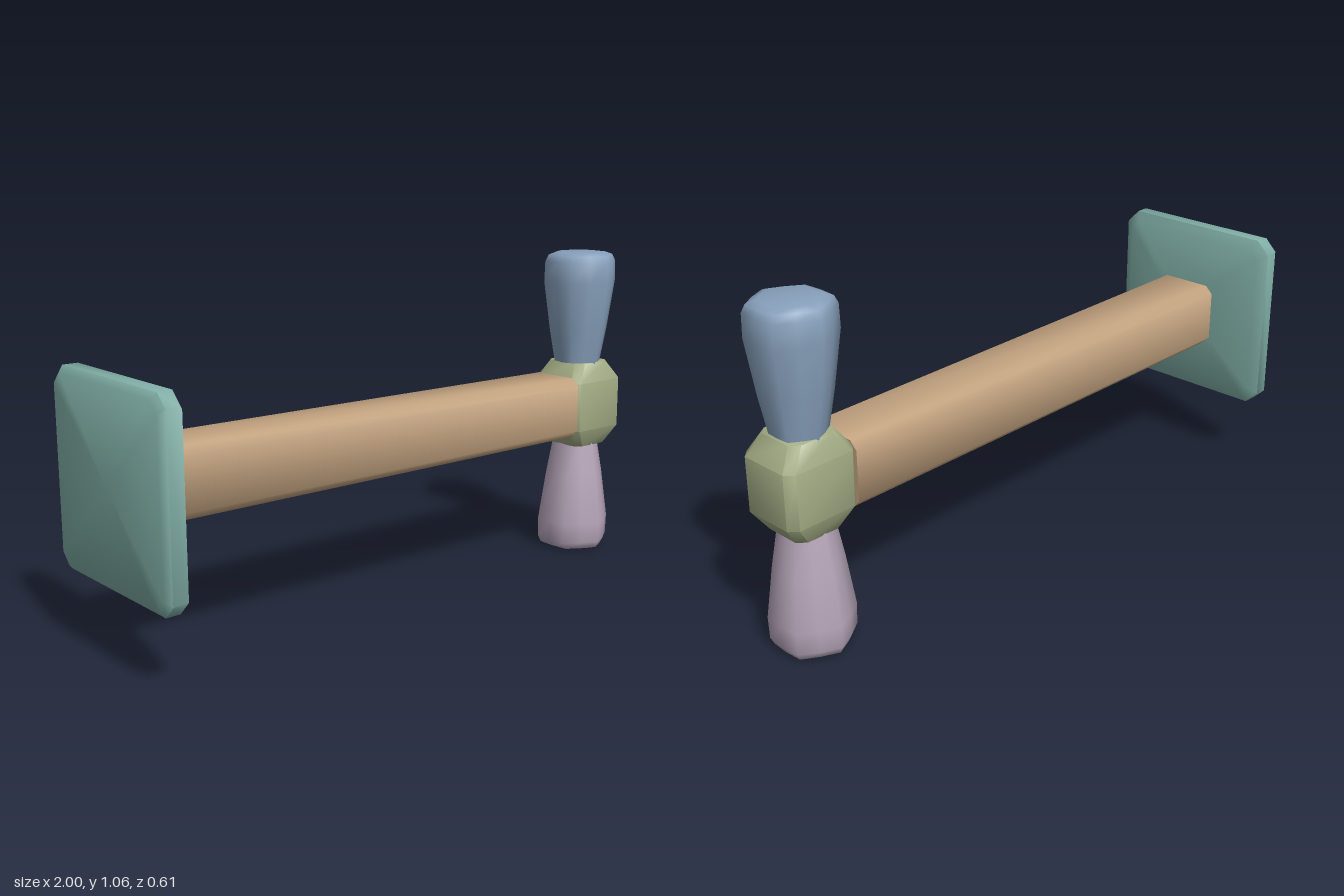
import * as THREE from 'three';
import { toCreasedNormals } from 'three/addons/utils/BufferGeometryUtils.js';

const material = (name, color) => {
  const m = new THREE.MeshStandardMaterial({ color });
  m.name = name;
  return m;
};

// Rectangle section with cut corners: half width a, half depth b, cut c
const cutRect = (a, b, c) => [
  [c - a, b], [a - c, b], [a, b - c], [a, c - b],
  [a - c, -b], [c - a, -b], [-a, c - b], [-a, b - c],
];

// Softened six-sided section with points on the z axis
const softHex = (r) => Array.from({ length: 12 }, (_, i) => {
  const t = (i * Math.PI) / 6, s = i % 2 ? r * 0.9 : r;
  return [Math.sin(t) * s, Math.cos(t) * s];
});

// Closed skin through sections stacked along y: [[y, section], ...]
function loft(rings, crease) {
  const pos = [], idx = [], n = rings[0][1].length, last = (rings.length - 1) * n;
  rings.forEach(([y, section]) => section.forEach(([x, z]) => pos.push(x, y, z)));
  const bottom = rings.length * n, top = bottom + 1;
  pos.push(0, rings[0][0], 0, 0, rings[rings.length - 1][0], 0);
  for (let i = 0; i < n; i++) {
    const j = (i + 1) % n;
    for (let r = 0; r < last; r += n) {
      idx.push(r + i, r + j, r + n + j, r + i, r + n + j, r + n + i);
    }
    idx.push(bottom, j, i, top, last + i, last + j);
  }
  const g = new THREE.BufferGeometry();
  g.setAttribute('position', new THREE.Float32BufferAttribute(pos, 3));
  g.setIndex(idx);
  return toCreasedNormals(g, crease);
}

export function createModel() {
  const group = new THREE.Group();
  const centreY = 0.533, hubX = 0.872;
  const add = (name, geometry, mat, x, y) => {
    const mesh = new THREE.Mesh(geometry, mat);
    mesh.name = name;
    mesh.position.set(x, y, 0);
    group.add(mesh);
  };

  // Striking plate, softly domed towards the beam
  const plate = loft([
    [-1, cutRect(0.285, 0.285, 0.035)],
    [-0.982, cutRect(0.303, 0.303, 0.04)],
    [-0.935, cutRect(0.304, 0.304, 0.045)],
    [-0.915, cutRect(0.27, 0.27, 0.03)],
    [-0.893, cutRect(0.11, 0.11, 0.02)],
  ], 0.85).rotateZ(-Math.PI / 2);
  add('plate', plate, material('teal', 0x7fada5), 0, centreY);

  // Long square beam with eased edges
  const beam = loft([
    [-0.91, cutRect(0.108, 0.111, 0.025)],
    [0.765, cutRect(0.104, 0.106, 0.025)],
  ], 0.85).rotateZ(-Math.PI / 2);
  add('beam', beam, material('tan', 0xc2a27f), 0, centreY);

  // Faceted hub holding the grips
  const hub = loft([
    [-0.148, cutRect(0.078, 0.08, 0.025)],
    [-0.085, cutRect(0.122, 0.106, 0.025)],
    [0.085, cutRect(0.122, 0.106, 0.025)],
    [0.148, cutRect(0.078, 0.08, 0.025)],
  ], 0.95);
  add('hub', hub, material('olive', 0xa3ad85), 0.877, centreY);

  // Flared grips above and below the hub
  const profile = [[0.13, 0.08], [0.26, 0.104], [0.43, 0.129], [0.5, 0.127], [0.522, 0.116], [0.531, 0.09]];
  const makeGrip = () => loft(profile.map(([y, r]) => [y, softHex(r)]), 1);
  add('upperGrip', makeGrip(), material('blue', 0x87a0bb), hubX, centreY);
  add('lowerGrip', makeGrip().rotateX(Math.PI), material('mauve', 0xb7a6ba), hubX, centreY);

  return group;
}
